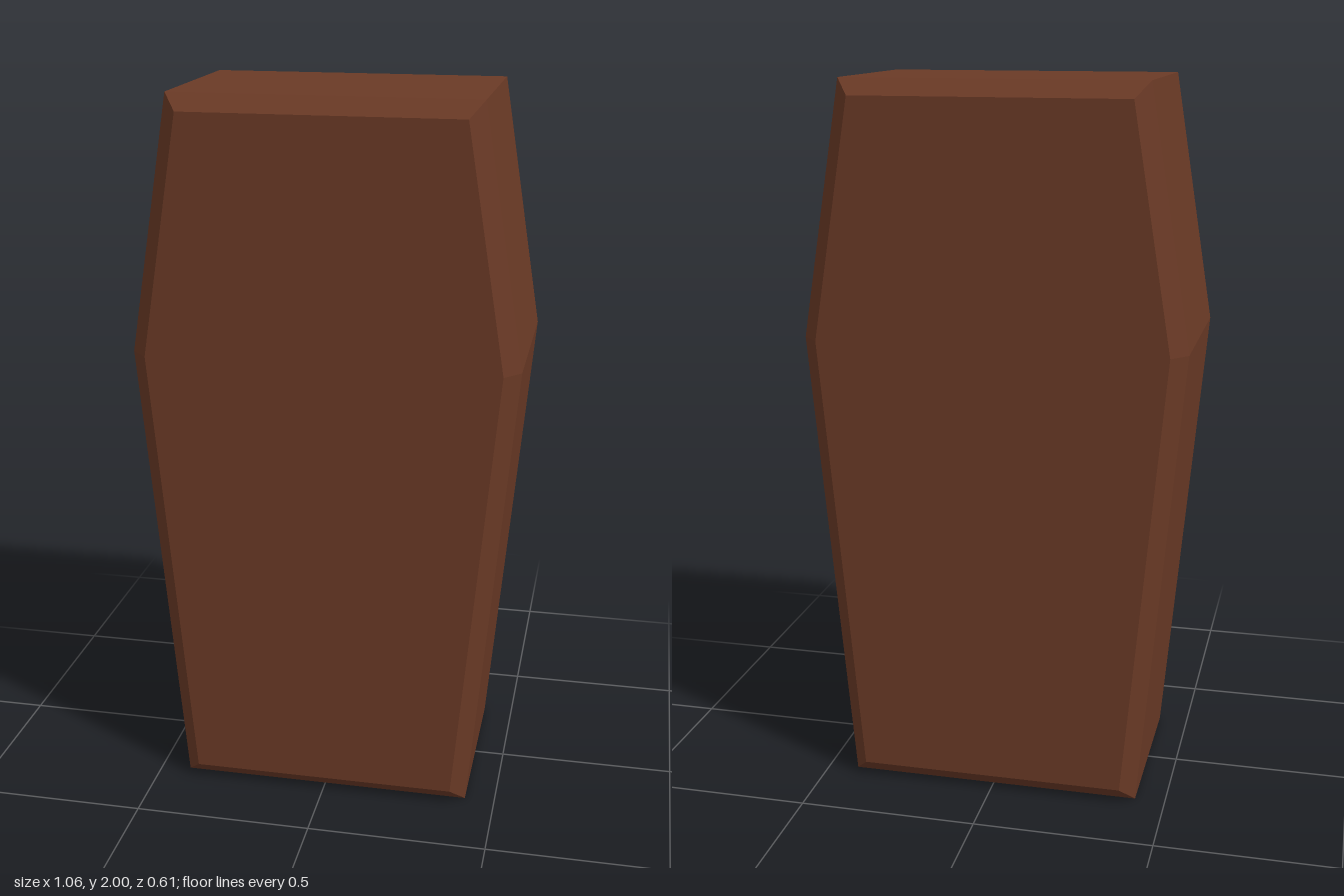
import * as THREE from 'three';

export function createModel() {
  const group = new THREE.Group();
  group.name = 'coffin';

  const wood = new THREE.MeshStandardMaterial({ color: 0x6b3a26 });
  wood.name = 'darkWood';

  // Six-sided outline, widest at the shoulders
  const half = [[0.415, 0], [0.53, 1.3], [0.415, 2]];
  const mirrored = half.map(([x, y]) => [-x, y]).reverse();
  const outline = new THREE.Shape([...half, ...mirrored].map(([x, y]) => new THREE.Vector2(x, y)));

  // Extruded body, chamfered inwards around the front and back faces
  const depth = 0.61;
  const chamfer = 0.044;
  const geometry = new THREE.ExtrudeGeometry(outline, {
    depth: depth - 2 * chamfer,
    bevelEnabled: true,
    bevelSegments: 1,
    bevelSize: chamfer,
    bevelThickness: chamfer,
    bevelOffset: -chamfer,
  });
  geometry.translate(0, 0, chamfer - depth / 2);

  const body = new THREE.Mesh(geometry, wood);
  body.name = 'coffinBody';
  group.add(body);

  return group;
}
